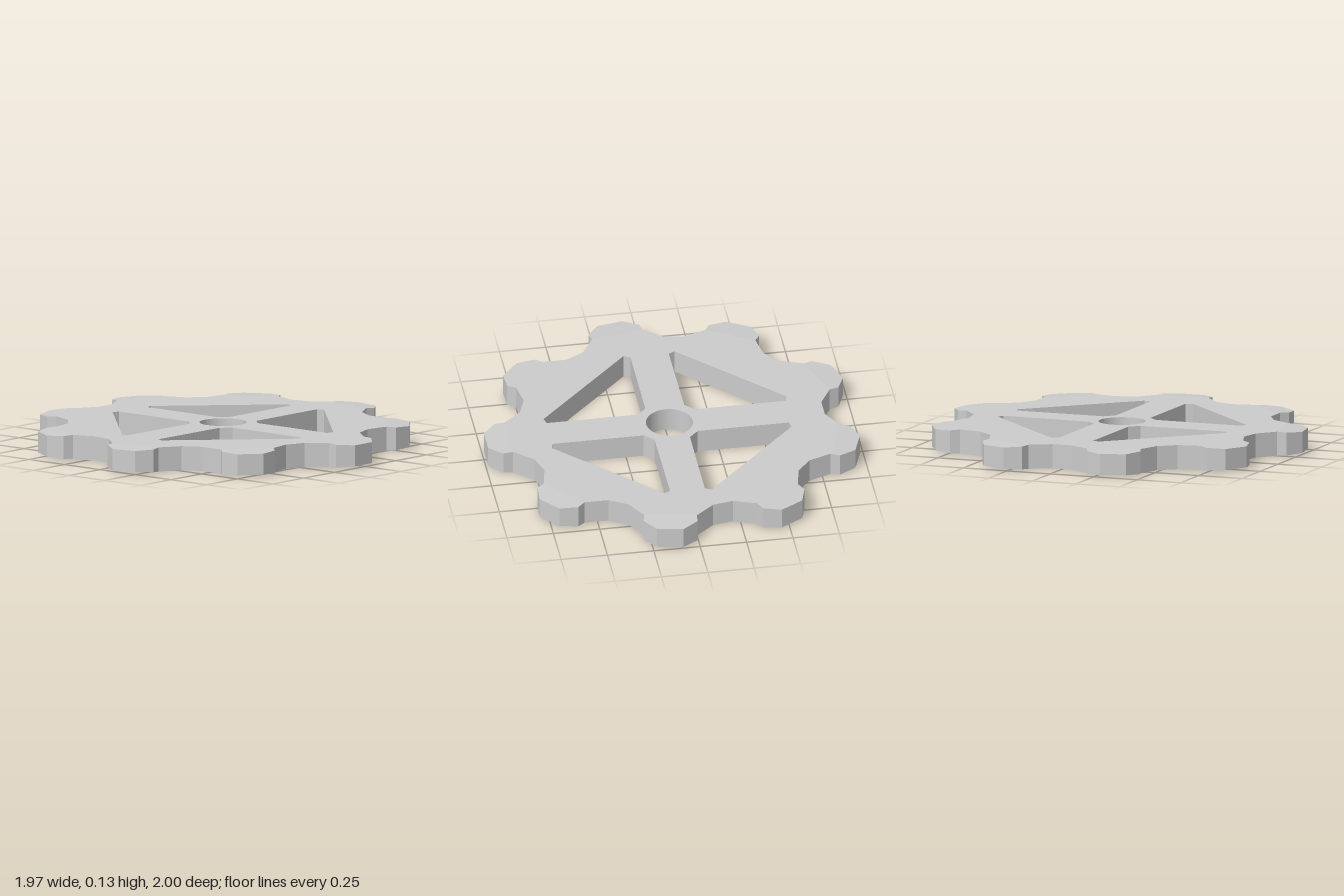
import * as THREE from 'three';

const TEETH = 9, HEIGHT = 0.13, CENTRE_X = -0.015;
const material = new THREE.MeshStandardMaterial({ color: 0xcccccc, flatShading: true });

const polar = (deg, r) => {
  const a = THREE.MathUtils.degToRad(deg);
  return new THREE.Vector2(r * Math.cos(a), r * Math.sin(a));
};

// Extrude a flat shape upwards from y = 0
function slab(shape) {
  const geometry = new THREE.ExtrudeGeometry(shape, { depth: HEIGHT, bevelEnabled: false, curveSegments: 32 });
  return geometry.rotateX(-Math.PI / 2);
}

// Disc with scalloped rim, four triangular windows and a round bore
function wheelGeometry() {
  const rim = [];
  for (let i = 0; i < TEETH; i++) {
    for (const [deg, r] of [[-16, 0.815], [-9.1, 0.893], [9.1, 0.893], [16, 0.815]]) {
      const p = polar(deg + i * 360 / TEETH, r);
      p.x += CENTRE_X;
      rim.push(p);
    }
  }
  const shape = new THREE.Shape(rim);

  // One window with clipped corners, mirrored into each quadrant
  const windowCorners = [[0.105, 0.15], [0.155, 0.1], [0.645, 0.1], [0.655, 0.14], [0.138, 0.66], [0.103, 0.642]];
  for (const sx of [1, -1]) {
    for (const sy of [1, -1]) {
      const shift = sx < 0 && sy > 0 ? 0.02 : 0; // one window sits closer to its spoke
      shape.holes.push(new THREE.Path(
        windowCorners.map(([x, y]) => new THREE.Vector2(sx * x + shift, sy * y + shift * 0.3))));
    }
  }
  const bore = new THREE.Path();
  bore.absarc(0, 0, 0.125, 0, Math.PI * 2, true);
  shape.holes.push(bore);
  return slab(shape);
}

// Blunt tooth along +x that thins slightly towards its tip
function toothGeometry() {
  const outline = [[-9.1, 0.893], [-8.7, 0.945], [-4, 1.006], [4, 1.006], [8.7, 0.945], [9.1, 0.893]];
  const geometry = slab(new THREE.Shape(outline.map(([deg, r]) => polar(deg, r))));
  const pos = geometry.attributes.position;
  const root = polar(9.1, 0.893).x;
  for (let i = 0; i < pos.count; i++) {
    const inset = 0.07 * (pos.getX(i) - root);
    pos.setY(i, pos.getY(i) > HEIGHT / 2 ? HEIGHT - inset : inset);
  }
  geometry.computeVertexNormals();
  return geometry;
}

export function createModel() {
  const model = new THREE.Group();
  model.name = 'gearWheel';

  const wheel = new THREE.Mesh(wheelGeometry(), material);
  wheel.name = 'spokedWheel';
  model.add(wheel);

  const teeth = new THREE.Group();
  teeth.name = 'teeth';
  teeth.position.x = CENTRE_X;
  const geometry = toothGeometry();
  for (let i = 0; i < TEETH; i++) {
    const tooth = new THREE.Mesh(geometry, material);
    tooth.name = `tooth${i + 1}`;
    tooth.rotation.y = i * 2 * Math.PI / TEETH;
    teeth.add(tooth);
  }
  model.add(teeth);
  return model;
}
